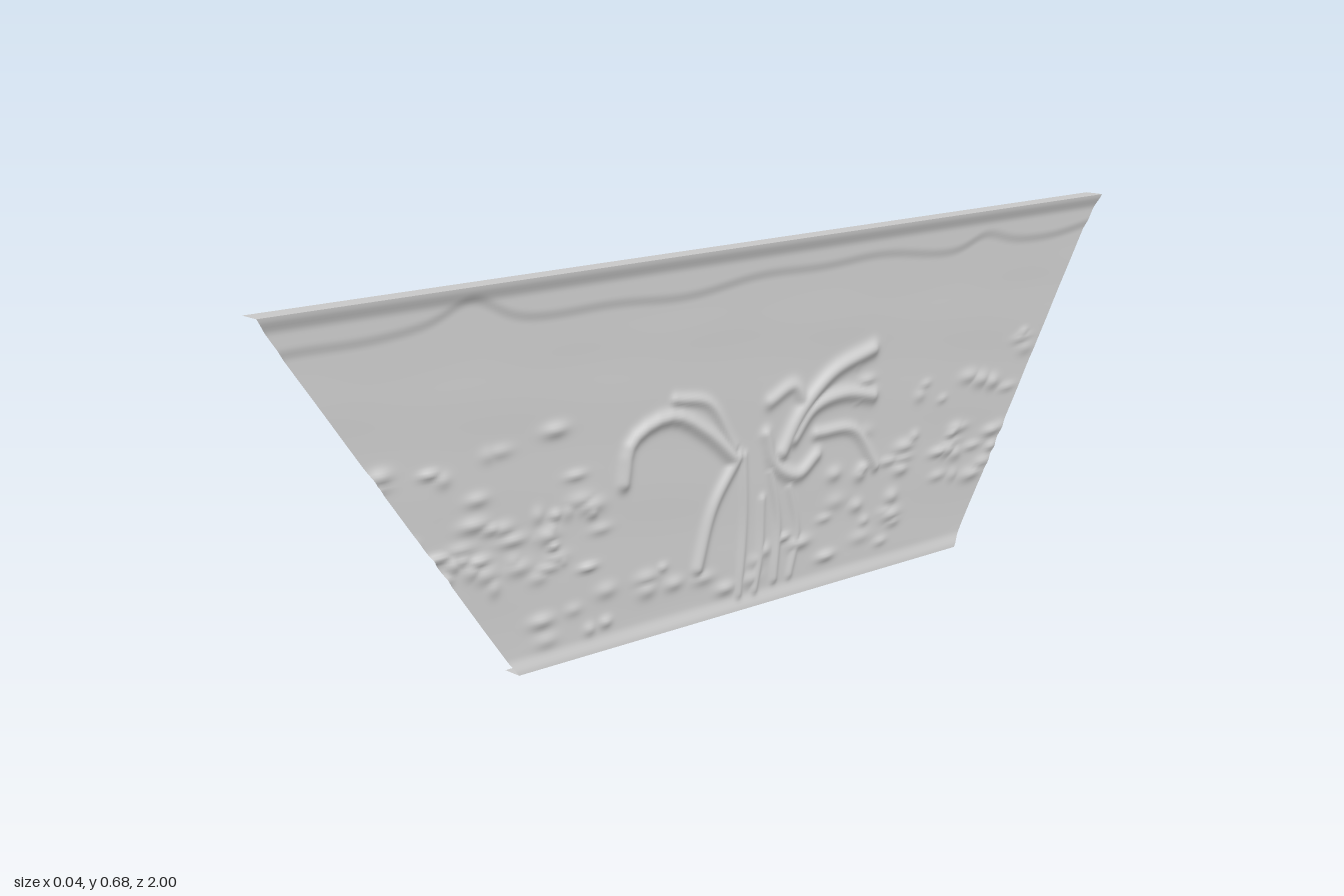
import * as THREE from 'three';

const H = 0.675;
const mat = new THREE.MeshStandardMaterial({ color: 0xcccccc, side: THREE.DoubleSide });

// Relief strokes: [height, radius, u,y, u,y, ...] with u running to the right (u = -z)
const strokes = [
  // left palm fronds
  [0.009, 0.013, -0.29, 0.29, -0.27, 0.36, -0.18, 0.39, -0.1, 0.35, -0.03, 0.29],
  [0.006, 0.010, -0.17, 0.42, -0.09, 0.4, -0.03, 0.31],
  [0.008, 0.012, -0.02, 0.29, -0.08, 0.21, -0.12, 0.1],
  // right palm fronds
  [0.010, 0.015, 0.09, 0.28, 0.14, 0.35, 0.22, 0.41, 0.33, 0.44],
  [0.009, 0.014, 0.12, 0.3, 0.17, 0.35, 0.25, 0.365, 0.33, 0.35],
  [0.007, 0.011, 0.18, 0.3, 0.28, 0.29, 0.34, 0.21],
  [0.008, 0.013, 0.05, 0.32, 0.07, 0.26, 0.13, 0.23, 0.18, 0.26],
  [0.007, 0.013, 0.06, 0.38, 0.12, 0.4, 0.15, 0.36],
  // trunks
  [0.005, 0.008, -0.005, 0.29, -0.005, 0.16, -0.02, 0.03],
  [0.005, 0.008, 0.04, 0.2, 0.035, 0.1, 0.02, 0.03],
  [0.005, 0.008, 0.06, 0.25, 0.08, 0.15, 0.07, 0.04],
  [0.004, 0.008, 0.11, 0.21, 0.13, 0.12, 0.11, 0.04],
].map(([h, r, ...p]) => {
  const pts = [];
  for (let i = 0; i < p.length; i += 2) pts.push(new THREE.Vector3(p[i], p[i + 1], 0));
  return { h, r, pts: new THREE.CatmullRomCurve3(pts).getPoints(14) };
});

// Scattered pebbles, leaves and tufts: regions [count, uMin, uMax, yMin, yMax]
let seed = 7;
const rnd = () => (seed = (seed * 16807) % 2147483647) / 2147483647;
const bumps = [];
for (const [n, u0, u1, y0, y1] of [
  [34, -0.74, -0.33, 0.14, 0.28], [10, -0.8, -0.36, 0.3, 0.42],
  [30, 0.2, 0.72, 0.13, 0.25], [14, 0.28, 0.8, 0.28, 0.42],
  [26, -0.5, 0.52, 0.03, 0.12],
]) for (let i = 0; i < n; i++) bumps.push({
  u: u0 + (u1 - u0) * rnd(), y: y0 + (y1 - y0) * rnd(),
  a: 0.012 + 0.016 * rnd(), b: 0.007 + 0.007 * rnd(), h: 0.003 + 0.004 * rnd(),
});

const smooth = THREE.MathUtils.smoothstep;

function segmentDistance(u, y, a, b) {
  const dx = b.x - a.x, dy = b.y - a.y;
  const t = THREE.MathUtils.clamp(((u - a.x) * dx + (y - a.y) * dy) / (dx * dx + dy * dy), 0, 1);
  return Math.hypot(u - a.x - t * dx, y - a.y - t * dy);
}

// Embossed depth of the sheet at (u, y)
function depth(u, y) {
  let x = 0.008 + 0.006 * (1 - smooth(y, 0, 0.03));
  // flared upper rim with a wavy fold and two pinched peaks
  const fold = 0.61 + 0.008 * Math.sin(u * 7) + 0.004 * Math.sin(u * 19 + 1)
    + 0.03 * Math.exp(-(((u + 0.6) / 0.06) ** 2)) + 0.02 * Math.exp(-(((u - 0.65) / 0.06) ** 2));
  x += 0.004 * smooth(y, fold - 0.01, fold + 0.012) + 0.008 * smooth(y, 0.645, H);
  // gentle unevenness of the ground
  x += 0.0007 * Math.sin(u * 11 + y * 17) * Math.sin(y * 23 - u * 5) * smooth(y, 0, 0.05) * (1 - smooth(y, 0.5, 0.58));
  let relief = 0;
  if (y < 0.5) {
    if (Math.abs(u) < 0.42) for (const s of strokes) {
      let d = 1;
      for (let i = 1; i < s.pts.length; i++) d = Math.min(d, segmentDistance(u, y, s.pts[i - 1], s.pts[i]));
      relief = Math.max(relief, s.h * Math.exp(-((d / s.r) ** 2)));
    }
    for (const b of bumps)
      relief = Math.max(relief, b.h * Math.exp(-(((u - b.u) / b.a) ** 2) - ((y - b.y) / b.b) ** 2));
  }
  return x + relief;
}

// Trapezoid panel, wide at the top
function makePanel() {
  const geo = new THREE.PlaneGeometry(1, 1, 300, 130);
  const p = geo.attributes.position;
  for (let i = 0; i < p.count; i++) {
    const t = p.getY(i) + 0.5, s = p.getX(i) + 0.5, y = t * H;
    const u = THREE.MathUtils.lerp(-0.53 - 0.47 * t, 0.57 + 0.43 * t, s);
    p.setXYZ(i, depth(u, y), y, -u);
  }
  geo.computeVertexNormals();
  const mesh = new THREE.Mesh(geo, mat);
  mesh.name = 'reliefPanel';
  return mesh;
}

// Thin flange folded behind the panel along a horizontal edge
function makeFlange(name, y, u0, u1, back, facing) {
  const geo = new THREE.PlaneGeometry(1, 1, 100, 1);
  const p = geo.attributes.position;
  for (let i = 0; i < p.count; i++) {
    const u = THREE.MathUtils.lerp(u0, u1, p.getX(i) + 0.5);
    const outer = p.getY(i) * facing > 0;
    p.setXYZ(i, outer ? back : depth(u, y), y, -u);
  }
  geo.computeVertexNormals();
  const mesh = new THREE.Mesh(geo, mat);
  mesh.name = name;
  return mesh;
}

export function createModel() {
  const group = new THREE.Group();
  group.name = 'embossedPanel';
  group.add(
    makePanel(),
    makeFlange('topFlange', H, -1, 1, -0.02, 1),
    makeFlange('bottomFlange', 0, -0.53, 0.57, -0.024, -1),
  );
  return group;
}
